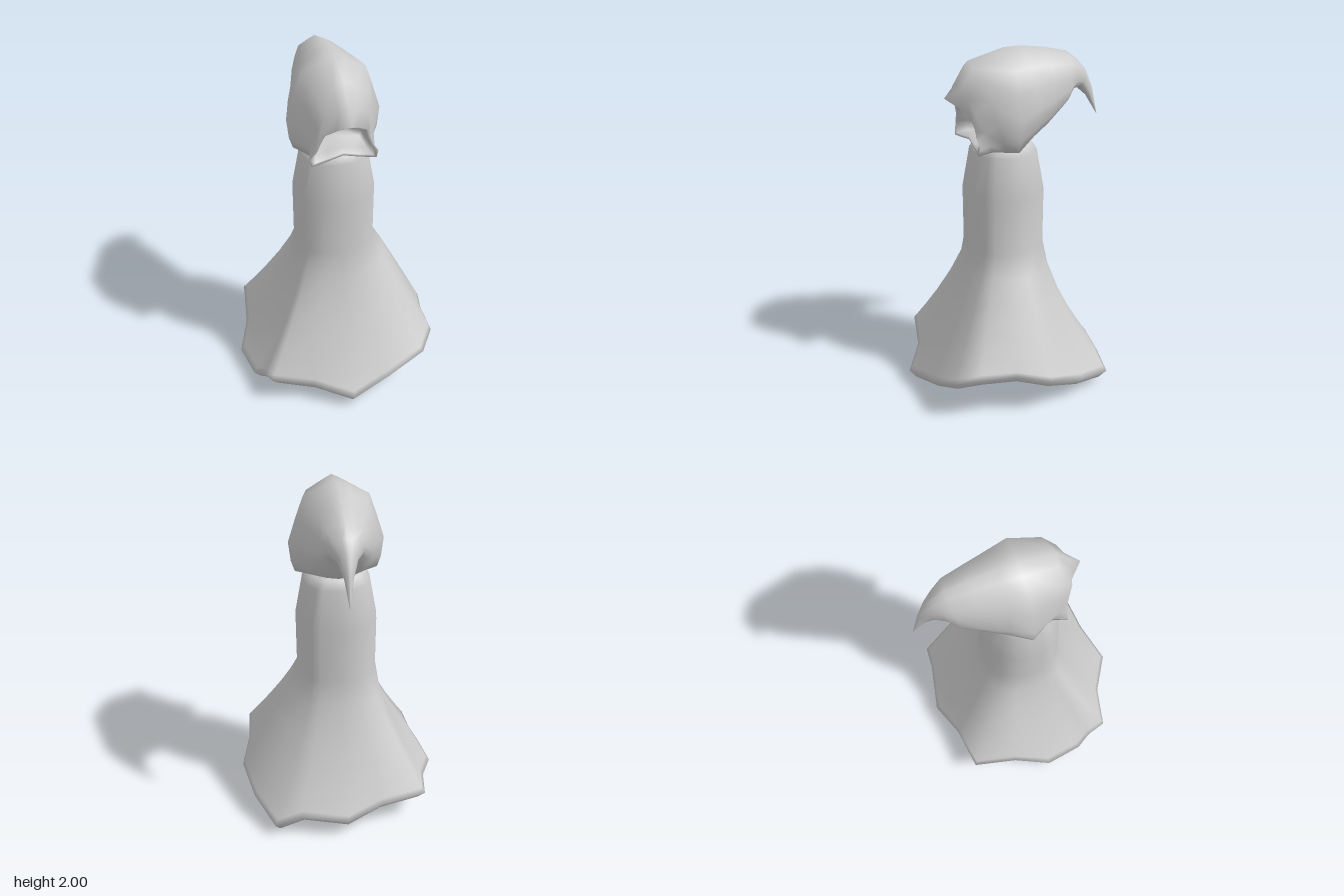
import * as THREE from 'three';

const grey = new THREE.MeshStandardMaterial({ color: 0xcccccc, side: THREE.DoubleSide });

// Skin a list of closed rings (equal point counts) with smooth normals
function loft(name, rings, capLast = false) {
  const n = rings[0].length, pos = rings.flat(2), idx = [];
  for (let r = 0; r < rings.length - 1; r++)
    for (let i = 0; i < n; i++) {
      const j = (i + 1) % n, a = r * n, b = a + n;
      idx.push(a + i, b + i, a + j, a + j, b + i, b + j);
    }
  if (capLast) {
    const last = rings[rings.length - 1], base = (rings.length - 1) * n, c = pos.length / 3;
    for (let k = 0; k < 3; k++) pos.push(last.reduce((s, p) => s + p[k], 0) / n);
    for (let i = 0; i < n; i++) idx.push(base + i, c, base + (i + 1) % n);
  }
  const geo = new THREE.BufferGeometry();
  geo.setAttribute('position', new THREE.Float32BufferAttribute(pos, 3));
  geo.setIndex(idx);
  geo.computeVertexNormals();
  const mesh = new THREE.Mesh(geo, grey);
  mesh.name = name;
  return mesh;
}

// Ragged hem outline, from the front towards +x: x, y, z, flare exponent of the fold above
const hem = [
  [-0.03, 0.08, 0.585, 1.55], [0.2, 0.13, 0.515, 1.45], [0.425, 0.23, 0.47, 1.25],
  [0.515, 0.28, 0.35, 1.2], [0.53, 0.26, 0.13, 0.95], [0.58, 0.21, -0.06, 0.95],
  [0.525, 0.14, -0.28, 1.25], [0.42, 0.08, -0.495, 1.55], [0.27, 0.14, -0.505, 1.5],
  [0, 0.12, -0.56, 1.5], [-0.21, 0.17, -0.485, 1.35], [-0.46, 0.2, -0.45, 1.25],
  [-0.5, 0.13, -0.2, 1.45], [-0.58, 0.08, 0, 1.75], [-0.545, 0.08, 0.215, 1.65],
  [-0.5, 0.13, 0.3, 1.5], [-0.475, 0.17, 0.405, 1.35], [-0.24, 0.12, 0.46, 1.5],
];

// Squarish ring of the upper robe, lined up with the hem points
const bodyRing = (r, y) => hem.map(([x, , z]) => {
  const a = Math.atan2(x, z), s = Math.sin(a), c = Math.cos(a);
  const k = r / Math.pow(Math.abs(s) ** 2.3 + Math.abs(c) ** 2.3, 1 / 2.3);
  return [s * k * 1.03 + 0.007, y, c * k];
});

// Ring a share s of the way from waist to hem
const waist = bodyRing(0.22, 0.87);
const skirtRing = s => waist.map((p, i) => {
  const [x, y, z, flare] = hem[i], f = s ** flare;
  return [p[0] + (x - p[0]) * f, p[1] + (y - p[1]) * s, p[2] + (z - p[2]) * f];
});

// Hem turned inwards: scaled by k, lifted, and levelled towards one height
const lining = (k, lift, level) => hem.map(([x, y, z]) =>
  [x * k, y + (0.19 - y) * level + lift, z * k]);

// Complete a half outline by mirroring it left to right
const mirrored = half => [...half, ...half.slice(1, -1).reverse().map(([x, y, z]) => [-x, y, z])]
  .map(([x, y, z]) => [x + 0.006, y, z]);

// Hood section between a top and a bottom point [z, y]; the tail has a narrower underside
const crownShape = [[0, 0], [0.06, 0.27], [0.16, 0.68], [0.38, 0.83], [0.66, 1], [0.88, 0.95], [1, 0.87], [1, 0.42], [1, 0]];
const tailShape = [[0, 0], [0.06, 0.27], [0.16, 0.68], [0.36, 0.86], [0.58, 1], [0.78, 0.9], [0.92, 0.62], [0.98, 0.3], [1, 0]];
const section = ([zt, yt], [zb, yb], w, shape = crownShape) =>
  mirrored(shape.map(([v, u]) => [u * w, yt + (yb - yt) * v, zt + (zb - zt) * v]));

// Face opening with a peaked brim: half outline x, y, z
const faceRim = [
  [0, 1.755, 0.34], [0.06, 1.71, 0.275], [0.125, 1.665, 0.235], [0.148, 1.6, 0.218], [0.168, 1.55, 0.216],
  [0.192, 1.51, 0.21], [0.18, 1.472, 0.216], [0.09, 1.485, 0.205], [0, 1.505, 0.2],
];
// Copy of the rim shrunk by k, its depth blended towards z = back
const faceRing = (k, back, t) =>
  mirrored(faceRim.map(([x, y, z]) => [x * k, 1.63 + (y - 1.63) * k, z + (back - z) * t]));

export function createModel() {
  const model = new THREE.Group();
  model.name = 'hoodedRobe';

  // Robe: shoulders, straight trunk, flared skirt, rolled hem and inner lining
  model.add(loft('robe', [
    bodyRing(0.06, 1.51),
    bodyRing(0.145, 1.475),
    bodyRing(0.182, 1.43),
    bodyRing(0.222, 1.19),
    waist,
    ...[0.2, 0.42, 0.65, 0.84, 0.96].map(skirtRing),
    lining(1, 0, 0),
    lining(0.93, -0.05, 0),
    lining(0.84, -0.075, 0),
    lining(0.76, -0.04, 0.2),
    lining(0.6, 0, 0.7),
    lining(0.42, 0, 1),
  ]));

  // Hood: drooping point at the back, full crown, peaked brim, hollow face
  model.add(loft('hood', [
    section([-0.58, 1.55], [-0.578, 1.55], 0.002, tailShape),
    section([-0.545, 1.71], [-0.505, 1.67], 0.024, tailShape),
    section([-0.5, 1.82], [-0.44, 1.73], 0.055, tailShape),
    section([-0.45, 1.88], [-0.375, 1.72], 0.095, tailShape),
    section([-0.38, 1.94], [-0.325, 1.635], 0.14, tailShape),
    section([-0.25, 1.975], [-0.22, 1.54], 0.178, tailShape),
    section([-0.1, 2], [-0.13, 1.48], 0.222, tailShape),
    section([0, 2], [0, 1.475], 0.262),
    section([0.2, 1.95], [0.06, 1.47], 0.21),
    section([0.275, 1.835], [0.12, 1.47], 0.175),
    faceRing(1, 0, 0),
    faceRing(0.88, 0.2, 0.15),
    faceRing(0.8, 0.14, 0.8),
    faceRing(0.78, 0.02, 0.95),
  ], true));

  return model;
}
